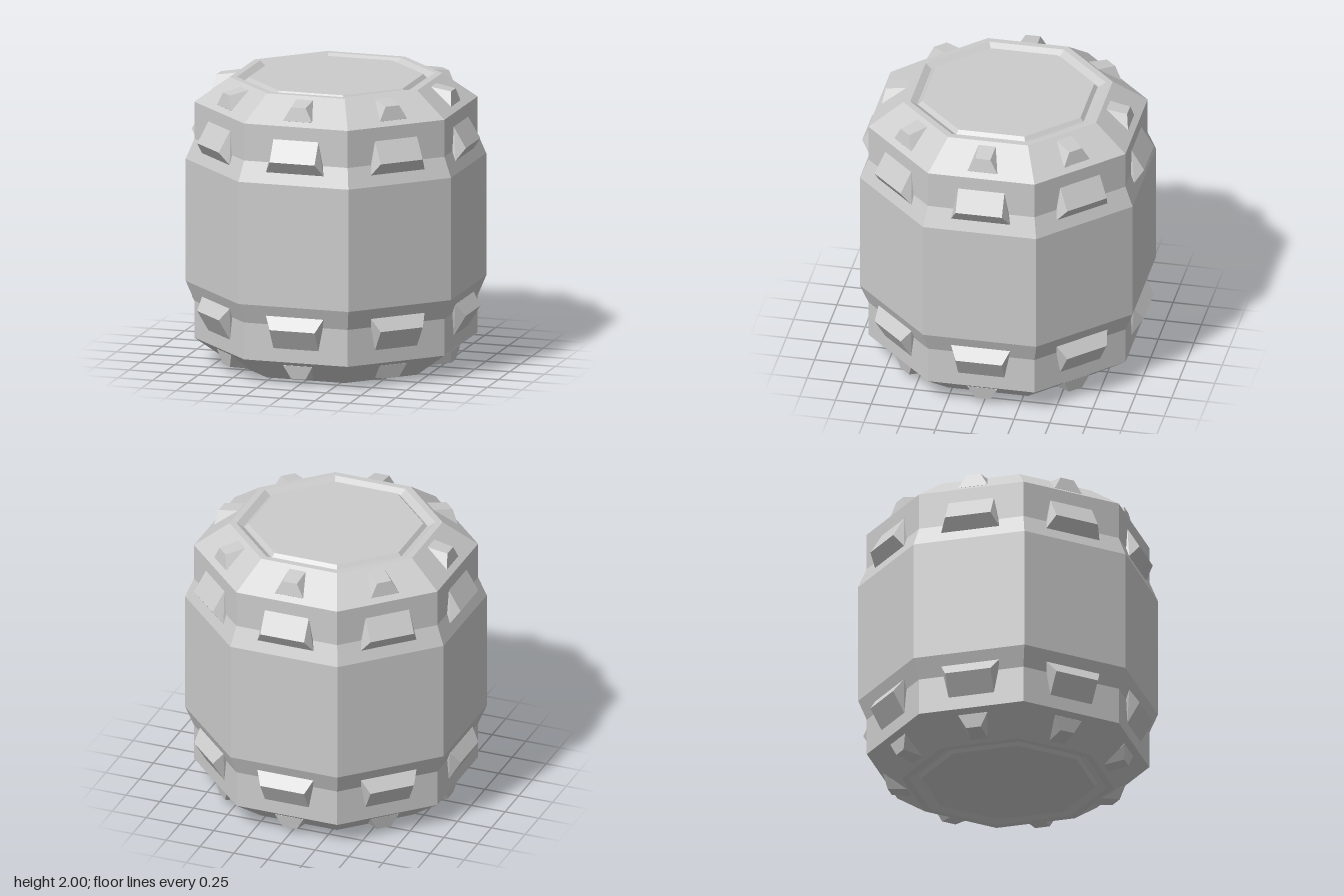
import * as THREE from 'three';
import { ConvexGeometry } from 'three/addons/geometries/ConvexGeometry.js';

const SIDES = 8;
const MID = 1; // height of the mirror plane between the two ends

export function createModel() {
  const group = new THREE.Group();
  const material = new THREE.MeshStandardMaterial({ color: 0xcccccc, flatShading: true });

  // Barrel: upper half profile as [distance to the flat side, height], mirrored downwards
  const upper = [
    [0.955, 1.43], [0.9, 1.57], [0.9, 1.83], [0.675, 2],
    [0.63, 2], [0.585, 1.97], [0.578, 1.97], [0.555, 1.995], [0, 1.995],
  ];
  const lower = upper.map(([r, y]) => [r, 2 * MID - y]).reverse();
  const profile = [...lower, ...upper].map(
    ([r, y]) => new THREE.Vector2(r / Math.cos(Math.PI / SIDES), y));
  const barrel = new THREE.Mesh(
    new THREE.LatheGeometry(profile, SIDES, Math.PI / SIDES), material);
  barrel.name = 'barrel';
  group.add(barrel);

  // Wedge stud: edges given as [half width, height, distance outwards]
  function studGeometry(edges, flip) {
    const points = [];
    for (const [w, y, z] of edges) {
      const h = flip ? 2 * MID - y : y;
      points.push(new THREE.Vector3(-w, h, z), new THREE.Vector3(w, h, z));
    }
    return new ConvexGeometry(points);
  }

  const studs = {
    // top edge, crest, bottom edge, then the two edges sunk into the barrel
    sideStud: [
      [0.162, 1.735, 0.9], [0.162, 1.59, 0.987], [0.207, 1.505, 0.926],
      [0.162, 1.735, 0.85], [0.207, 1.505, 0.85],
    ],
    bevelStud: [
      [0.06, 1.98, 0.7], [0.052, 1.955, 0.845], [0.105, 1.86, 0.862],
      [0.06, 1.95, 0.68], [0.105, 1.83, 0.84],
    ],
  };

  // A ring of each stud around both ends
  for (const [name, edges] of Object.entries(studs)) {
    for (const flip of [false, true]) {
      const geometry = studGeometry(edges, flip);
      for (let i = 0; i < SIDES; i++) {
        const stud = new THREE.Mesh(geometry, material);
        stud.name = name;
        stud.rotation.y = (i * 2 * Math.PI) / SIDES;
        group.add(stud);
      }
    }
  }
  return group;
}
